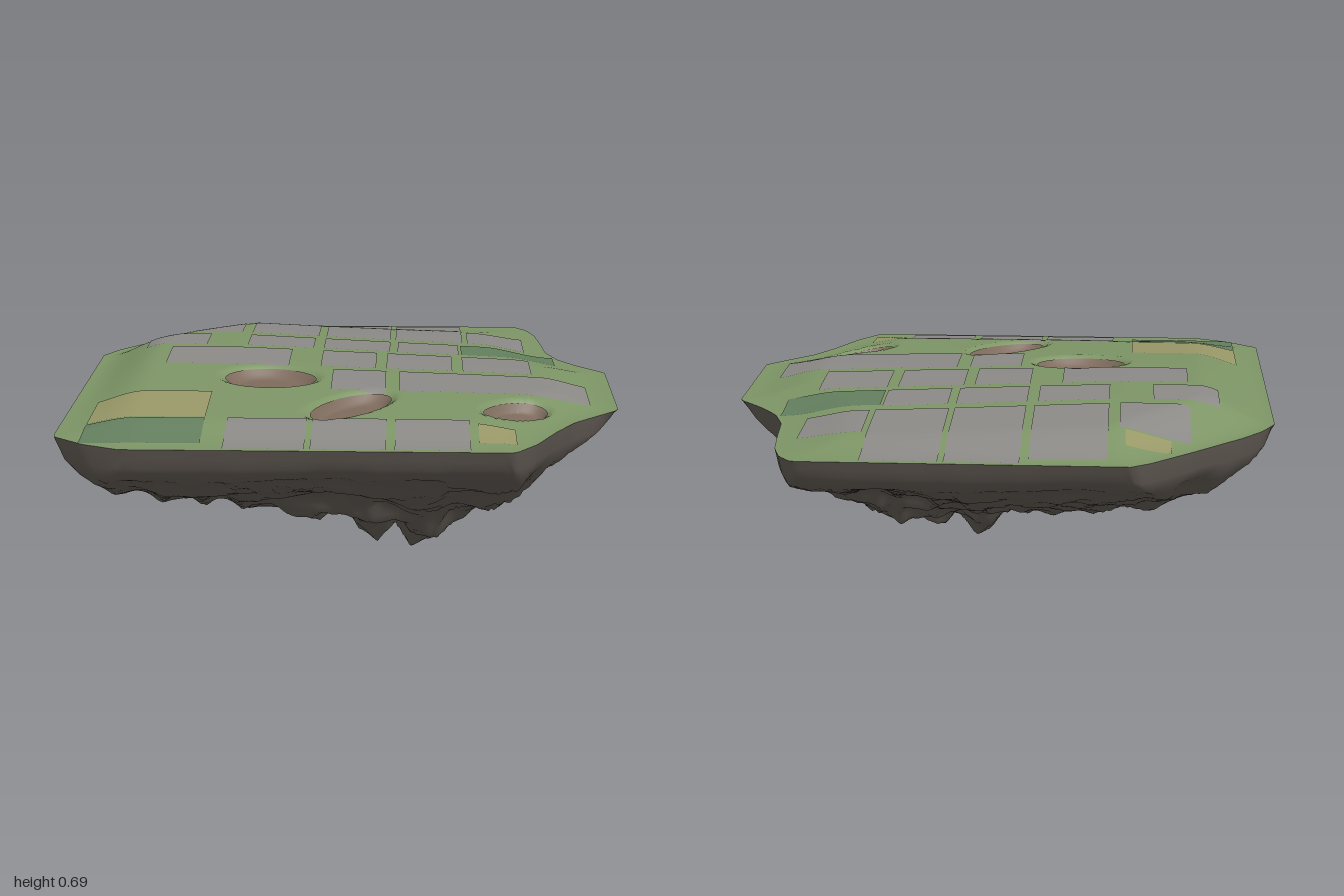
import * as THREE from 'three';

const RIM = 0.62;
// Island outline as x, z corners, clockwise seen from above
const OUTLINE = [
  [-0.48, -0.98], [0.68, -0.98], [0.73, -0.92], [0.76, -0.82], [0.775, -0.68], [0.79, -0.5], [0.83, -0.38],
  [0.9, -0.28], [1, -0.17], [1, 0.4], [0.83, 0.58], [0.76, 0.7], [0.68, 0.87], [0.6, 0.98], [-0.75, 0.98],
  [-0.88, 0.92], [-1, 0.82], [-1, -0.4], [-0.95, -0.5], [-0.88, -0.59], [-0.7, -0.78], [-0.55, -0.93],
].map(([x, z]) => new THREE.Vector2(x, z));

// Lowest rock height along x and along z
const LOW_X = [[-1, 0.62], [-0.95, 0.52], [-0.9, 0.46], [-0.8, 0.375], [-0.65, 0.335], [-0.55, 0.28], [-0.45, 0.3],
  [-0.35, 0.24], [-0.25, 0.23], [-0.1, 0.15], [-0.05, 0.17], [0, 0.11], [0.12, 0.03], [0.19, 0.08], [0.27, 0],
  [0.35, 0.05], [0.45, 0.12], [0.55, 0.2], [0.6, 0.28], [0.7, 0.39], [0.8, 0.46], [0.9, 0.53], [1, 0.62]];
const LOW_Z = [[-0.98, 0.62], [-0.95, 0.55], [-0.9, 0.49], [-0.8, 0.42], [-0.7, 0.365], [-0.5, 0.28], [-0.4, 0.21], [-0.2, 0.19],
  [-0.1, 0.13], [0.02, 0.03], [0.1, 0.06], [0.2, 0], [0.3, 0.06], [0.4, 0.12], [0.5, 0.22], [0.6, 0.29], [0.8, 0.405],
  [0.9, 0.48], [0.95, 0.54], [0.98, 0.62]];

// Craters: centre x, z, half length, half width, turn
const CRATERS = [[-0.28, 0.22, 0.18, 0.13, 0], [0.03, 0.54, 0.2, 0.1, -0.85], [0.62, 0.53, 0.14, 0.08, -0.6]];

// Ground patches as x0, x1, z0, z1
const PAVING = [
  [-0.4, -0.13, -0.92, -0.46], [-0.1, 0.16, -0.96, -0.46], [0.18, 0.45, -0.96, -0.46], [-0.69, -0.44, -0.71, -0.46],
  [0.47, 0.7, -0.71, -0.46], [-0.8, -0.56, -0.41, -0.21], [-0.4, -0.14, -0.41, -0.21], [-0.1, 0.16, -0.41, -0.21],
  [0.19, 0.43, -0.41, -0.21], [-0.69, -0.22, -0.17, 0.08], [-0.1, 0.11, -0.17, 0.08], [0.15, 0.4, -0.17, 0.08],
  [0.44, 0.7, -0.17, 0.08], [-0.05, 0.15, 0.12, 0.38], [0.2, 0.9, 0.12, 0.38],
  [-0.4, -0.12, 0.71, 0.96], [-0.1, 0.16, 0.71, 0.96], [0.19, 0.45, 0.71, 0.96],
];
const SAND = [[-0.9, -0.48, 0.42, 0.7], [-0.62, -0.46, -0.82, -0.72], [0.48, 0.61, 0.74, 0.89]];
const HEDGE = [[-0.9, -0.48, 0.71, 0.91], [0.44, 0.81, -0.4, -0.21]];

const { smoothstep, lerp, clamp } = THREE.MathUtils;

function sample(table, v) {
  for (let i = 1; i < table.length; i++) {
    const [a, ya] = table[i - 1], [b, yb] = table[i];
    if (v <= b) return lerp(ya, yb, clamp((v - a) / (b - a), 0, 1));
  }
  return table[table.length - 1][1];
}

// Distance to the nearest stretch of outline
function edgeDistance(x, z) {
  let best = Infinity;
  OUTLINE.forEach((a, i) => {
    const b = OUTLINE[(i + 1) % OUTLINE.length];
    const dx = b.x - a.x, dz = b.y - a.y;
    const t = clamp(((x - a.x) * dx + (z - a.y) * dz) / (dx * dx + dz * dz), 0, 1);
    best = Math.min(best, Math.hypot(x - a.x - t * dx, z - a.y - t * dz));
  });
  return best;
}

function noise(x, z) {
  const hash = (i, j) => { const s = Math.sin(i * 127.1 + j * 311.7) * 43758.5453; return s - Math.floor(s); };
  const i = Math.floor(x), j = Math.floor(z);
  const u = smoothstep(x - i, 0, 1), v = smoothstep(z - j, 0, 1);
  return lerp(lerp(hash(i, j), hash(i + 1, j), u), lerp(hash(i, j + 1), hash(i + 1, j + 1), u), v);
}
const ridge = (x, z) => Math.abs(2 * noise(x, z) - 1);

// Gentle dome, its crest running slantwise, with sunken craters
function groundHeight(x, z) {
  const crest = -0.2 + 0.3 * Math.max(0, x + 0.45);
  const dome = (0.093 - 0.037 * Math.max(0, x + 0.45)) * Math.exp(-((z - crest) ** 2));
  let y = RIM + dome * smoothstep(edgeDistance(x, z), 0.01, 0.28);
  for (const [cx, cz, a, b, turn] of CRATERS) {
    const dx = x - cx, dz = z - cz, c = Math.cos(turn), s = Math.sin(turn);
    const r = Math.hypot((dx * c + dz * s) / a, (dz * c - dx * s) / b);
    y -= 0.05 * (1 - smoothstep(r, 0.65, 1.15));
  }
  return y;
}

// Jagged rock hanging below the rim
function rockHeight(x, z) {
  const dx = RIM - sample(LOW_X, x), dz = RIM - sample(LOW_Z, z);
  const bulk = 0.75 * Math.min(dx, dz) + 0.25 * dx * dz / RIM;
  // Fuller towards the front left corner
  const full = lerp(bulk, Math.min(dx, dz), smoothstep(z - x, 0.8, 1.4));
  const depth = Math.min(full, RIM * Math.pow(edgeDistance(x, z) / 0.73, 0.55));
  const rough = 0.24 * ridge(x * 3 + 3, z * 3 + 7) + 0.15 * ridge(x * 7 + 1, z * 7) + 0.08 * ridge(x * 15, z * 15 + 5);
  const calm = smoothstep(depth, 0, 0.22) * (1 - 0.7 * smoothstep(depth, 0.48, RIM));
  return RIM - Math.min(RIM, depth * (1.05 - rough * calm));
}

// Rings shrinking from a loop to its centre, with height set by a rule
function ringSurface(loop, center, rings, height, faceUp) {
  const n = loop.length, pos = [center.x, height(center.x, center.y), center.y], index = [];
  const tri = (i, j, l) => faceUp ? index.push(i, l, j) : index.push(i, j, l);
  for (let r = 1; r <= rings; r++) {
    for (let k = 0; k < n; k++) {
      const p = center.clone().lerp(loop[k], r / rings);
      pos.push(p.x, height(p.x, p.y), p.y);
      const a = 1 + (r - 1) * n + k, b = 1 + (r - 1) * n + (k + 1) % n;
      if (r === 1) tri(0, a, b);
      else { tri(a - n, a, b); tri(a - n, b, b - n); }
    }
  }
  const geo = new THREE.BufferGeometry();
  geo.setAttribute('position', new THREE.Float32BufferAttribute(pos, 3));
  geo.setIndex(index);
  geo.computeVertexNormals();
  return geo;
}

// Rectangle laid over the ground
function drapedPatch([x0, x1, z0, z1]) {
  const w = x1 - x0, l = z1 - z0;
  const geo = new THREE.PlaneGeometry(w, l, Math.ceil(w / 0.02), Math.ceil(l / 0.02));
  geo.rotateX(-Math.PI / 2).translate((x0 + x1) / 2, 0, (z0 + z1) / 2);
  const p = geo.attributes.position;
  for (let i = 0; i < p.count; i++) p.setY(i, groundHeight(p.getX(i), p.getZ(i)) + 0.002);
  geo.computeVertexNormals();
  return geo;
}

export function createModel() {
  const island = new THREE.Group();
  island.name = 'floatingIsland';
  const paint = (color) => new THREE.MeshStandardMaterial({ color });
  const add = (name, geo, mat) => {
    const mesh = new THREE.Mesh(geo, mat);
    mesh.name = name;
    island.add(mesh);
  };

  const loop = new THREE.Shape([...OUTLINE, OUTLINE[0]]).getSpacedPoints(240).slice(0, -1);
  const middle = new THREE.Vector2(0, 0);
  add('grassTop', ringSurface(loop, middle, 80, groundHeight, true), paint(0x7d9566));
  add('rockUnderside', ringSurface(loop, middle, 70, rockHeight, false), paint(0x625b54));

  // Paved plots, sandy plots and hedges
  const kinds = [['pavedPlot', PAVING, 0x8c8a87], ['sandPlot', SAND, 0x989868], ['hedgePlot', HEDGE, 0x647f5f]];
  for (const [name, list, color] of kinds) {
    const mat = paint(color);
    list.forEach((rect, i) => add(name + (i + 1), drapedPatch(rect), mat));
  }

  // Bare earth inside the craters
  const earth = paint(0x7d6a5c);
  CRATERS.forEach(([x, z, a, b, turn], i) => {
    const rim = new THREE.EllipseCurve(x, z, a * 0.95, b * 0.95, 0, Math.PI * 2, false, turn).getPoints(64).slice(0, -1);
    const height = (px, pz) => groundHeight(px, pz) + 0.006;
    add('craterEarth' + (i + 1), ringSurface(rim, new THREE.Vector2(x, z), 16, height, true), earth);
  });
  return island;
}
